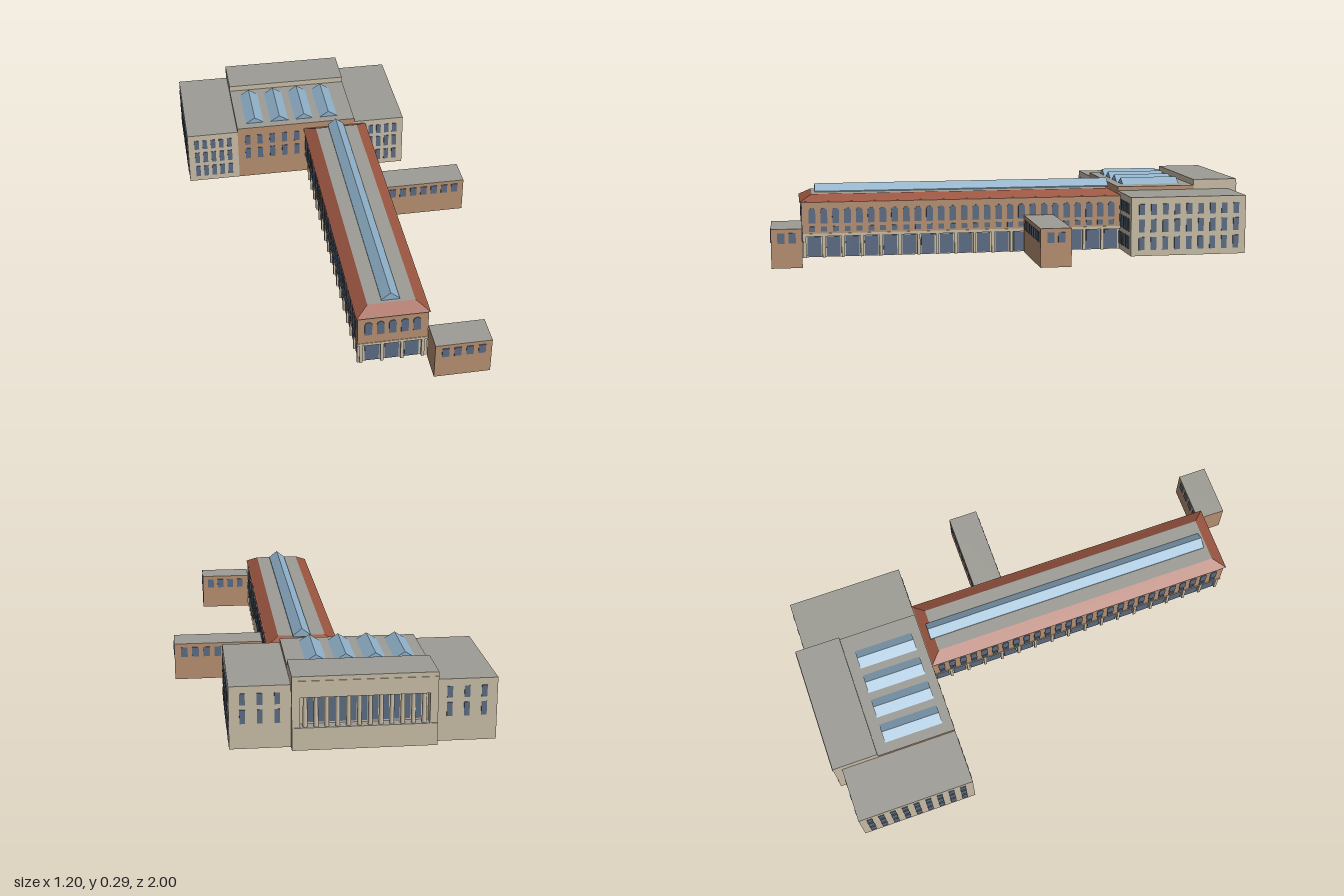
import * as THREE from 'three';
import { mergeGeometries } from 'three/addons/utils/BufferGeometryUtils.js';

const mat = (name, color) => {
  const m = new THREE.MeshStandardMaterial({ color });
  m.name = name;
  return m;
};

export function createModel() {
  const stone = mat('pale stone', 0xc8bca5);
  const brick = mat('tan brick', 0xb58f70);
  const pane = mat('dark window', 0x5b6b82);
  const grey = mat('grey roof', 0x9d9c95);
  const red = mat('red tile', 0x9a5540);
  const glass = mat('skylight glass', 0x8fb0c8);
  const dark = mat('dark ceiling', 0x69625a);
  const model = new THREE.Group();
  model.name = 'building';

  const add = (name, geo, material) => {
    const m = new THREE.Mesh(geo, material);
    m.name = name;
    model.add(m);
    return m;
  };
  // Box given by its limits
  const boxGeo = (x0, x1, y0, y1, z0, z1) =>
    new THREE.BoxGeometry(x1 - x0, y1 - y0, z1 - z0)
      .translate((x0 + x1) / 2, (y0 + y1) / 2, (z0 + z1) / 2);
  const row = (n, a, b) => Array.from({ length: n }, (_, i) => n === 1 ? a : a + (b - a) * i / (n - 1));

  // Walls with a flat roof: the top face gets the roof material
  const block = (name, wall, ...limits) =>
    add(name, boxGeo(...limits), [wall, wall, grey, wall, wall, wall]);

  // Thin window plate, optionally round-headed, on a wall facing one of four ways
  const TURN = { front: 0, left: Math.PI / 2, back: Math.PI, right: -Math.PI / 2 };
  const plate = (side, u, wall, y, w, h, arched) => {
    const s = new THREE.Shape();
    s.moveTo(-w / 2, 0);
    s.lineTo(w / 2, 0);
    if (arched) {
      s.lineTo(w / 2, h - w / 2);
      s.absarc(0, h - w / 2, w / 2, 0, Math.PI, false);
    } else {
      s.lineTo(w / 2, h);
      s.lineTo(-w / 2, h);
    }
    s.closePath();
    const g = new THREE.ExtrudeGeometry(s, { depth: 0.003, bevelEnabled: false, curveSegments: 8 });
    g.rotateY(TURN[side]);
    return side === 'front' || side === 'back' ? g.translate(u, y, wall) : g.translate(wall, y, u);
  };
  const windows = (name, side, us, wall, ys, w, h, arched = false) =>
    add(name, mergeGeometries(ys.flatMap(y => us.map(u => plate(side, u, wall, y, w, h, arched)))), pane);

  // Gabled glass prism running along z
  const skylight = (name, x, half, y0, y1, z0, z1) => {
    const s = new THREE.Shape([
      new THREE.Vector2(-half, 0), new THREE.Vector2(half, 0), new THREE.Vector2(0, y1 - y0)]);
    const g = new THREE.ExtrudeGeometry(s, { depth: z1 - z0, bevelEnabled: false });
    add(name, g.translate(x, y0, z0), glass);
  };

  // ---- Long hall: open-bottomed stone ground floor
  const X0 = -0.056, X1 = 0.222, Z0 = -0.465, Z1 = 0.877;
  const gx0 = -0.046, gx1 = 0.21, gz1 = 0.866, t = 0.006;
  add('hallGroundWalls', mergeGeometries([
    boxGeo(gx0, gx0 + t, 0, 0.09, Z0, gz1),
    boxGeo(gx1 - t, gx1, 0, 0.09, Z0, gz1),
    boxGeo(gx0 + t, gx1 - t, 0, 0.09, gz1 - t, gz1),
  ]), stone);
  add('hallStringCourse', boxGeo(X0 - 0.002, X1 + 0.002, 0.088, 0.1, Z0, Z1 + 0.002), stone);
  add('hallCeiling', boxGeo(gx0 + t, gx1 - t, 0.084, 0.087, Z0, gz1 - t), dark);

  // Bays and piers along both long sides, three bays on the end
  const bays = 17, pitch = (gz1 - Z0) / bays;
  const bayZ = row(bays, gz1 - pitch / 2, Z0 + pitch / 2);
  const piers = [];
  for (let i = 0; i < bays; i++) {
    const z = gz1 - i * pitch;
    piers.push(boxGeo(gx1, X1, 0, 0.088, z - 0.006, z + 0.006));
    piers.push(boxGeo(X0, gx0, 0, 0.088, z - 0.006, z + 0.006));
  }
  for (const x of [gx0 + 0.005, 0.042, 0.122, gx1 - 0.005])
    piers.push(boxGeo(x - 0.006, x + 0.006, 0, 0.088, gz1, Z1));
  add('hallPiers', mergeGeometries(piers), stone);
  windows('hallGroundWindowsLeft', 'left', bayZ, gx1, [0.003], 0.056, 0.082);
  windows('hallGroundWindowsRight', 'right', bayZ, gx0, [0.003], 0.056, 0.082);
  windows('hallGroundWindowsFront', 'front', [0.003, 0.082, 0.161], gz1, [0.003], 0.056, 0.082);

  // Upper storey
  add('hallUpperWalls', boxGeo(X0, X1, 0.1, 0.233, Z0, Z1), brick);
  const archZ = row(27, 0.835, -0.425);
  for (const [side, wall] of [['left', X1], ['right', X0]]) {
    windows(side + 'HallArches', side, archZ, wall, [0.142], 0.028, 0.063, true);
    windows(side + 'HallSmallWindows', side, archZ, wall, [0.108], 0.024, 0.021);
  }
  windows('frontHallArches', 'front', row(5, -0.014, 0.177), Z1, [0.142], 0.029, 0.063, true);

  // Hipped tile roof: a box whose top corners are drawn inwards
  const hip = boxGeo(-0.063, 0.227, 0.23, 0.258, -0.468, 0.885);
  const p = hip.attributes.position;
  for (let i = 0; i < p.count; i++) {
    if (p.getY(i) < 0.25) continue;
    p.setX(i, p.getX(i) < 0 ? -0.012 : 0.177);
    p.setZ(i, p.getZ(i) < 0 ? -0.418 : 0.835);
  }
  hip.computeVertexNormals();
  add('hallRoof', hip, [red, red, grey, red, red, red]);
  add('hallSkylightCurb', boxGeo(0.046, 0.118, 0.256, 0.262, -0.435, 0.82), glass);
  skylight('hallSkylight', 0.082, 0.036, 0.262, 0.291, -0.435, 0.82);

  // ---- Main block with a row of skylights
  block('mainBlock', brick, -0.367, 0.175, 0, 0.262, -0.8, -0.465);
  windows('mainFrontWindows', 'front', row(5, -0.322, -0.095), -0.465, [0.099], 0.024, 0.054);
  windows('mainUpperWindows', 'front', row(5, -0.322, -0.095), -0.465, [0.174], 0.024, 0.048);
  row(4, -0.282, 0.06).forEach((x, i) =>
    skylight('mainSkylight' + (i + 1), x, 0.041, 0.262, 0.288, -0.755, -0.505));

  // ---- Stone wings on either side
  const wing = (name, x0, x1, outer) => {
    block(name, stone, x0, x1, 0, 0.245, -0.957, -0.465);
    const wall = outer === 'left' ? x1 : x0;
    const us = row(5, x0 + 0.04, x1 - 0.04);
    const sides = row(9, -0.51, -0.915);
    const rows = [[0.025, 0.054], [0.099, 0.054], [0.172, 0.045]];
    rows.forEach(([y, h], i) => {
      windows(name + 'FrontWindows', 'front', us, -0.465, [y], 0.021, h);
      windows(name + 'SideWindows', outer, sides, wall, [y], 0.024, h);
      if (i) windows(name + 'BackWindows', 'back', row(3, x0 + 0.05, x1 - 0.05), -0.957, [y], 0.021, h);
    });
  };
  wing('rightWing', -0.597, -0.367, 'right');
  wing('leftWing', 0.175, 0.404, 'left');

  // ---- Rear portico: podium, end piers, entablature and columns
  const px0 = -0.367, px1 = 0.175, pz = -0.995;
  block('porticoBody', stone, px0, px1, 0, 0.287, -0.952, -0.8);
  block('porticoPodium', stone, px0, px1, 0, 0.088, pz, -0.952);
  block('porticoEntablature', stone, px0, px1, 0.205, 0.287, pz + 0.003, -0.952);
  add('porticoCornice', boxGeo(px0, px1, 0.262, 0.27, pz, -0.952), stone);
  add('porticoEndPiers', mergeGeometries([
    boxGeo(px0, px0 + 0.03, 0.088, 0.205, pz + 0.003, -0.952),
    boxGeo(px1 - 0.03, px1, 0.088, 0.205, pz + 0.003, -0.952),
  ]), stone);
  const colX = row(12, px0 + 0.05, px1 - 0.05);
  add('porticoColumns', mergeGeometries(colX.map(x =>
    new THREE.CylinderGeometry(0.008, 0.009, 0.117, 12).translate(x, 0.1465, -0.979))), stone);
  const gap = (colX[1] - colX[0]) / 2;
  windows('porticoWindows', 'back', colX.slice(0, -1).map(x => x + gap), -0.952, [0.095], 0.026, 0.1);

  // ---- Low brick annexes on the left side of the hall
  const annex = (name, x1, z0, z1, us) => {
    block(name, brick, X1, x1, 0, 0.156, z0, z1);
    windows(name + 'FrontWindows', 'front', us, z1, [0.099], 0.028, 0.041);
    windows(name + 'BackWindows', 'back', us, z0, [0.099], 0.028, 0.041);
    const mid = (z0 + z1) / 2;
    windows(name + 'EndWindows', 'left', [mid - 0.022, mid + 0.022], x1, [0.099], 0.028, 0.041);
  };
  annex('middleAnnex', 0.594, -0.174, -0.048, row(7, 0.273, 0.553));
  annex('frontAnnex', 0.445, 0.878, 1.0, row(4, 0.263, 0.406));

  return model;
}
